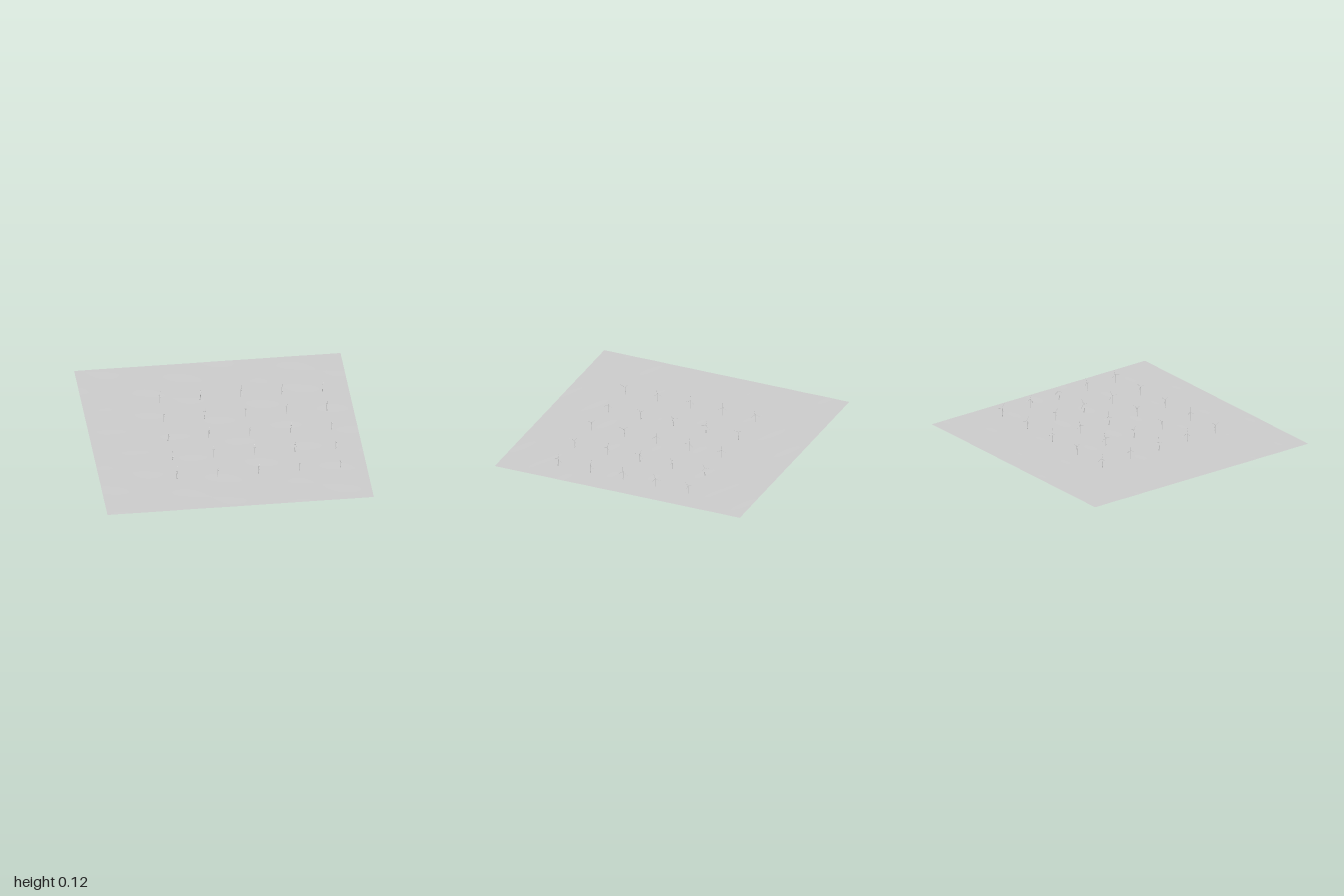
import * as THREE from 'three';

const grey = new THREE.MeshStandardMaterial({ color: 0xcccccc });
const seaGrey = new THREE.MeshStandardMaterial({ color: 0xcccccc, side: THREE.DoubleSide });
const SEA = 0.017, HUB = 0.082, BLADE = 0.042;

function part(name, geometry, parent, material = grey) {
  const mesh = new THREE.Mesh(geometry, material);
  mesh.name = name;
  parent.add(mesh);
  return mesh;
}

function seeded(seed) {
  return () => (seed = (seed * 16807) % 2147483647) / 2147483647;
}

// Gently rippled sheet of water
function seaGeometry() {
  const geo = new THREE.PlaneGeometry(2, 2, 90, 90).rotateX(-Math.PI / 2);
  const pos = geo.attributes.position;
  for (let i = 0; i < pos.count; i++) {
    const x = pos.getX(i), z = pos.getZ(i);
    const ripple = Math.sin(9 * x + 17 * z) + Math.sin(23 * z - 6 * x + 1.3) + Math.sin(13 * x - 11 * z + 2 * Math.sin(4 * z));
    pos.setY(i, SEA + 0.0003 * ripple);
  }
  geo.computeVertexNormals();
  return geo;
}

// Thin tapered blade pointing up, broadest near the root
function bladeGeometry() {
  const s = new THREE.Shape();
  s.moveTo(-0.0006, 0);
  s.lineTo(-0.0008, 0.004);
  s.lineTo(-0.0013, 0.009);
  s.lineTo(-0.0004, BLADE);
  s.lineTo(0.0003, BLADE);
  s.lineTo(0.0012, 0.009);
  s.lineTo(0.0007, 0.004);
  s.lineTo(0.0006, 0);
  const geo = new THREE.ExtrudeGeometry(s, { depth: 0.0007, bevelEnabled: false });
  return geo.translate(0, 0, -0.00035).rotateY(Math.PI / 2 - 0.15);
}

export function createModel() {
  const model = new THREE.Group();
  model.name = 'offshoreWindFarm';
  part('sea', seaGeometry(), model, seaGrey);

  // Shared turbine geometries
  const pile = new THREE.CylinderGeometry(0.0026, 0.0026, 0.028, 16).translate(0, 0.014, 0);
  const platform = new THREE.CylinderGeometry(0.004, 0.004, 0.001, 16).translate(0, 0.0275, 0);
  const tower = new THREE.CylinderGeometry(0.0012, 0.002, HUB - 0.028, 16).translate(0, (HUB + 0.028) / 2, 0);
  const nacelle = new THREE.BoxGeometry(0.0095, 0.0034, 0.0032).translate(-0.0005, HUB + 0.0005, 0);
  const hub = new THREE.SphereGeometry(0.0017, 12, 8).scale(1.3, 1, 1);
  const blade = bladeGeometry();
  const random = seeded(4711);

  // Five by five turbines, each rotor stopped at its own angle
  for (let col = 0; col < 5; col++) {
    for (let row = 0; row < 5; row++) {
      const turbine = new THREE.Group();
      turbine.name = 'turbine';
      turbine.position.set(-0.425 + 0.3065 * col, 0, -0.49 + 0.2655 * row);
      part('pile', pile, turbine);
      part('platform', platform, turbine);
      part('tower', tower, turbine);
      part('nacelle', nacelle, turbine);

      const rotor = new THREE.Group();
      rotor.name = 'rotor';
      rotor.position.set(0.0062, HUB + 0.0005, 0);
      rotor.rotation.x = random() * Math.PI * 2;
      part('hub', hub, rotor);
      for (let k = 0; k < 3; k++) {
        part('blade', blade, rotor).rotation.x = (k * Math.PI * 2) / 3;
      }
      turbine.add(rotor);
      model.add(turbine);
    }
  }
  return model;
}
